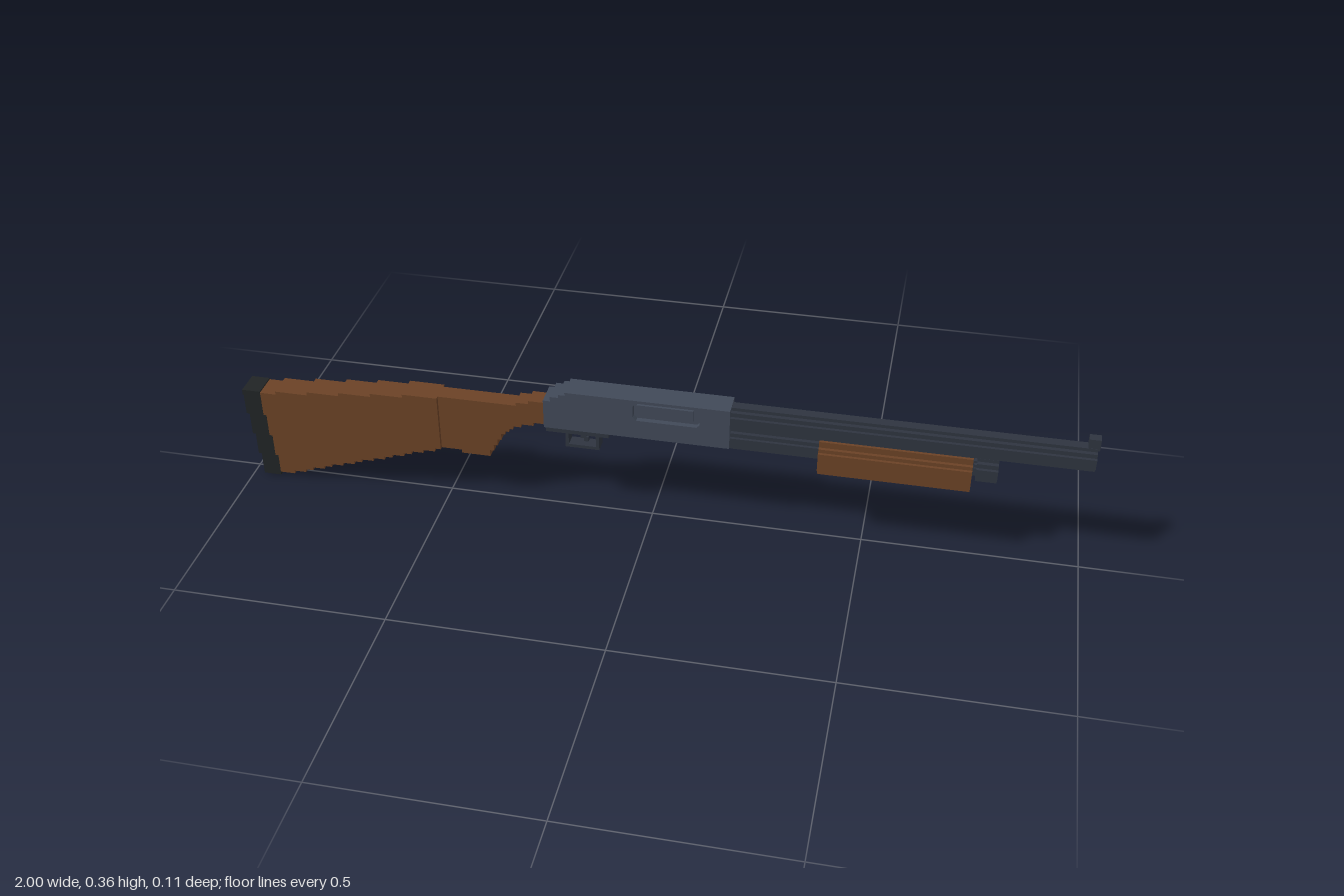
import * as THREE from 'three';

const mat = (color) => new THREE.MeshStandardMaterial({ color, flatShading: true });
const V = (p) => new THREE.Vector2(p[0], p[1]);

// Turn a polyline into a staircase with a fixed rise
function stepped(points, rise = 0.0085, run = 0.01) {
  const out = [];
  let last = null;
  const end = points[points.length - 1][0];
  for (let x = points[0][0]; x < end - 1e-6; x += run) {
    const i = Math.max(1, points.findIndex((p) => p[0] > x + 1e-6));
    const [a, b] = [points[i - 1], points[i]];
    const t = (x - a[0]) / (b[0] - a[0]);
    const y = Math.round((a[1] + (b[1] - a[1]) * t) / rise) * rise;
    if (y !== last) {
      if (last !== null) out.push([x, last]);
      out.push([x, y]);
      last = y;
    }
  }
  out.push([end, last]);
  return out;
}

export function createModel() {
  const group = new THREE.Group();
  const wood = mat(0x6b4226), steel = mat(0x414958), dark = mat(0x2e343f), rubber = mat(0x202425);

  function add(name, geometry, material) {
    const mesh = new THREE.Mesh(geometry, material);
    mesh.name = name;
    group.add(mesh);
    return mesh;
  }
  const box = (name, x0, x1, y0, y1, halfZ, material, z = 0) =>
    add(name, new THREE.BoxGeometry(x1 - x0, y1 - y0, halfZ * 2)
      .translate((x0 + x1) / 2, (y0 + y1) / 2, z), material);

  // Side profile extruded across z
  function slab(name, points, z0, z1, material, hole) {
    const shape = new THREE.Shape(points.map(V));
    if (hole) shape.holes.push(new THREE.Path(hole.map(V)));
    const geo = new THREE.ExtrudeGeometry(shape, { depth: z1 - z0, bevelEnabled: false });
    return add(name, geo.translate(0, 0, z0), material);
  }
  // End profile extruded along x
  function bar(name, points, x0, x1, y, material) {
    const geo = new THREE.ExtrudeGeometry(new THREE.Shape(points.map(V)), { depth: x1 - x0, bevelEnabled: false });
    return add(name, geo.rotateY(Math.PI / 2).translate(x0, y, 0), material);
  }
  // Blocky circle
  function blockCircle(r) {
    const q = [[1, 0.4], [0.74, 0.4], [0.74, 0.74], [0.4, 0.74], [0.4, 1]];
    const half = [...q, ...q.map(([x, y]) => [-x, y]).reverse()];
    return [...half, ...half.map(([x, y]) => [-x, -y])].map(([x, y]) => [x * r, y * r]);
  }

  // Butt stock and narrower grip
  const profile = (top, bottom) => [...stepped(bottom), ...stepped(top).reverse()];
  slab('stock', profile(
    [[-0.955, 0.238], [-0.55, 0.282], [-0.51, 0.28]],
    [[-0.955, 0.004], [-0.92, 0.006], [-0.54, 0.13], [-0.51, 0.137]],
  ), -0.031, 0.031, wood);
  slab('grip', profile(
    [[-0.51, 0.28], [-0.42, 0.278], [-0.35, 0.278], [-0.31, 0.29], [-0.25, 0.3], [-0.24, 0.302]],
    [[-0.51, 0.137], [-0.47, 0.135], [-0.455, 0.127], [-0.4, 0.126], [-0.38, 0.165],
      [-0.35, 0.208], [-0.31, 0.229], [-0.24, 0.243]],
  ), -0.022, 0.022, wood);

  // Slanted butt pad in steps
  for (let i = 0; i < 4; i++) {
    const s = i * 0.0075;
    box('buttPad', -0.975 - s, -0.932 - s, i * 0.058, (i + 1) * 0.058, 0.0315, rubber);
  }
  box('buttPadLip', -1, -0.955, 0.228, 0.241, 0.0315, rubber);

  // Receiver in three layers: the middle has the loading port, the +z one the ejection port
  const back = [[-0.2, 0.338], [-0.2, 0.33], [-0.215, 0.33], [-0.215, 0.322], [-0.235, 0.322],
    [-0.235, 0.31], [-0.252, 0.31], [-0.252, 0.236]];
  const body = [[0.185, 0.236], [0.185, 0.338], ...back];
  slab('receiverRight', body, -0.031, -0.018, steel);
  slab('receiverCore', [...body, [-0.06, 0.236], [-0.06, 0.252], [0.13, 0.252], [0.13, 0.236]],
    -0.018, 0.018, steel);
  slab('receiverLeft', body, 0.018, 0.031, steel, [[-0.04, 0.292], [-0.032, 0.284], [0.108, 0.284],
    [0.116, 0.292], [0.116, 0.322], [0.108, 0.332], [-0.032, 0.332], [-0.04, 0.322]]);
  box('bolt', -0.032, 0.1, 0.292, 0.322, 0.004, steel, 0.02);

  // Trigger plate, guard and trigger
  box('triggerPlate', -0.25, -0.1, 0.218, 0.237, 0.02, dark);
  slab('triggerGuard', [[-0.205, 0.178], [-0.124, 0.178], [-0.124, 0.22], [-0.205, 0.22]], -0.016, 0.016, dark,
    [[-0.197, 0.186], [-0.132, 0.186], [-0.132, 0.216], [-0.197, 0.216]]);
  box('trigger', -0.171, -0.158, 0.2, 0.22, 0.006, dark);
  box('triggerTip', -0.163, -0.152, 0.192, 0.204, 0.006, dark);

  // Barrel, front sight and magazine tube
  bar('barrel', blockCircle(0.03), 0.185, 0.996, 0.307, dark);
  box('frontSight', 0.974, 1, 0.332, 0.36, 0.011, dark);
  bar('magazineTube', blockCircle(0.028), 0.185, 0.735, 0.252, dark);
  bar('magazineRod', blockCircle(0.02), 0.73, 0.75, 0.246, dark);
  bar('magazineCap', blockCircle(0.031), 0.742, 0.79, 0.246, dark);

  // Pump forend, a stepped trough round the tube
  const side = [[0.031, 0.196], [0.031, 0.203], [0.039, 0.203], [0.039, 0.211], [0.047, 0.211], [0.047, 0.22],
    [0.054, 0.22], [0.054, 0.266], [0.047, 0.266], [0.047, 0.275], [0.039, 0.275], [0.039, 0.29],
    [0.032, 0.29], [0.032, 0.23], [0.022, 0.23], [0.022, 0.22]];
  bar('pumpForend', [...side, ...side.map(([x, y]) => [-x, y]).reverse()], 0.39, 0.733, 0, wood);

  return group;
}
